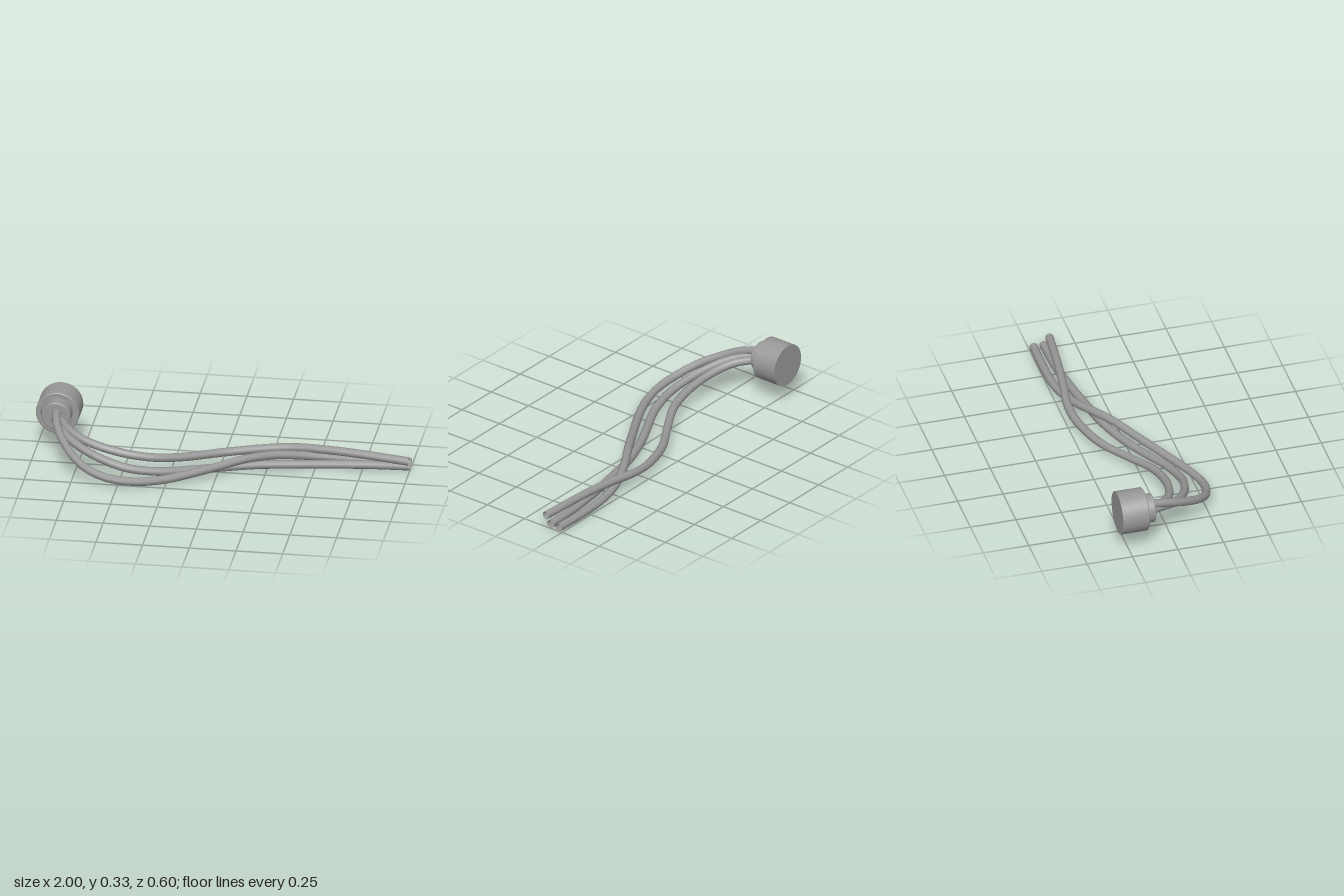
import * as THREE from 'three';
import { toCreasedNormals } from 'three/addons/utils/BufferGeometryUtils.js';

const CABLE_RADIUS = 0.0228;
const GREY = 0x989898;

// Centre lines of the three cables, from the plug to the loose ends
const CABLES = {
  innerCable: [
    [-0.87, 0.2, -0.15], [-0.855, 0.197, -0.107], [-0.793, 0.178, -0.02], [-0.7, 0.152, 0.036],
    [-0.53, 0.116, 0.068], [-0.35, 0.085, 0.045], [-0.2, 0.064, -0.03], [0, 0.054, -0.145],
    [0.2, 0.061, -0.21], [0.35, 0.073, -0.224], [0.5, 0.083, -0.203], [0.7, 0.084, -0.176],
    [1, 0.07, -0.142],
  ],
  middleCable: [
    [-0.9, 0.21, -0.15], [-0.89, 0.207, -0.107], [-0.857, 0.195, -0.04], [-0.8, 0.17, 0.04],
    [-0.7, 0.135, 0.11], [-0.6, 0.105, 0.15], [-0.47, 0.073, 0.172], [-0.3, 0.048, 0.14],
    [-0.15, 0.036, 0.07], [0, 0.03, 0], [0.2, 0.029, -0.07], [0.4, 0.028, -0.11],
    [0.6, 0.026, -0.145], [0.8, 0.027, -0.167], [1, 0.029, -0.174],
  ],
  outerCable: [
    [-0.885, 0.243, -0.15], [-0.882, 0.24, -0.107], [-0.862, 0.215, 0], [-0.826, 0.18, 0.08],
    [-0.745, 0.125, 0.19], [-0.65, 0.08, 0.253], [-0.53, 0.051, 0.28], [-0.4, 0.036, 0.262],
    [-0.25, 0.033, 0.2], [0, 0.058, 0.055], [0.15, 0.077, -0.035], [0.3, 0.069, -0.125],
    [0.45, 0.046, -0.19], [0.6, 0.031, -0.223], [0.8, 0.025, -0.232], [1, 0.026, -0.229],
  ],
};

export function createModel() {
  const group = new THREE.Group();
  group.name = 'cablePlug';
  const material = new THREE.MeshStandardMaterial({ color: GREY });
  const cableMaterial = new THREE.MeshStandardMaterial({ color: GREY, side: THREE.DoubleSide });

  // Turns a profile of [radius, z] points, back to front, around the plug's axis
  const addTurned = (name, profile) => {
    const points = profile.map(([r, z]) => new THREE.Vector2(r, z));
    const geometry = new THREE.LatheGeometry(points, 32).rotateX(Math.PI / 2);
    const mesh = new THREE.Mesh(toCreasedNormals(geometry, 0.5), material);
    mesh.name = name;
    mesh.position.set(-0.8838, 0.2175, 0);
    group.add(mesh);
  };

  // Plug body with a bevelled rim and a groove around the collar
  addTurned('plugBody', [
    [0, -0.3], [0.1162, -0.3], [0.1162, -0.157], [0.112, -0.153],
    [0.09, -0.153], [0.09, -0.185], [0, -0.185],
  ]);

  // Stepped collar that the cables leave from
  addTurned('collar', [
    [0.077, -0.185], [0.077, -0.111], [0.073, -0.107], [0, -0.107],
  ]);

  // Smooth eight-sided cables, open at the loose ends
  for (const [name, path] of Object.entries(CABLES)) {
    const curve = new THREE.CatmullRomCurve3(path.map((p) => new THREE.Vector3(...p)));
    const cable = new THREE.Mesh(new THREE.TubeGeometry(curve, 44, CABLE_RADIUS, 8), cableMaterial);
    cable.name = name;
    group.add(cable);
  }

  return group;
}
